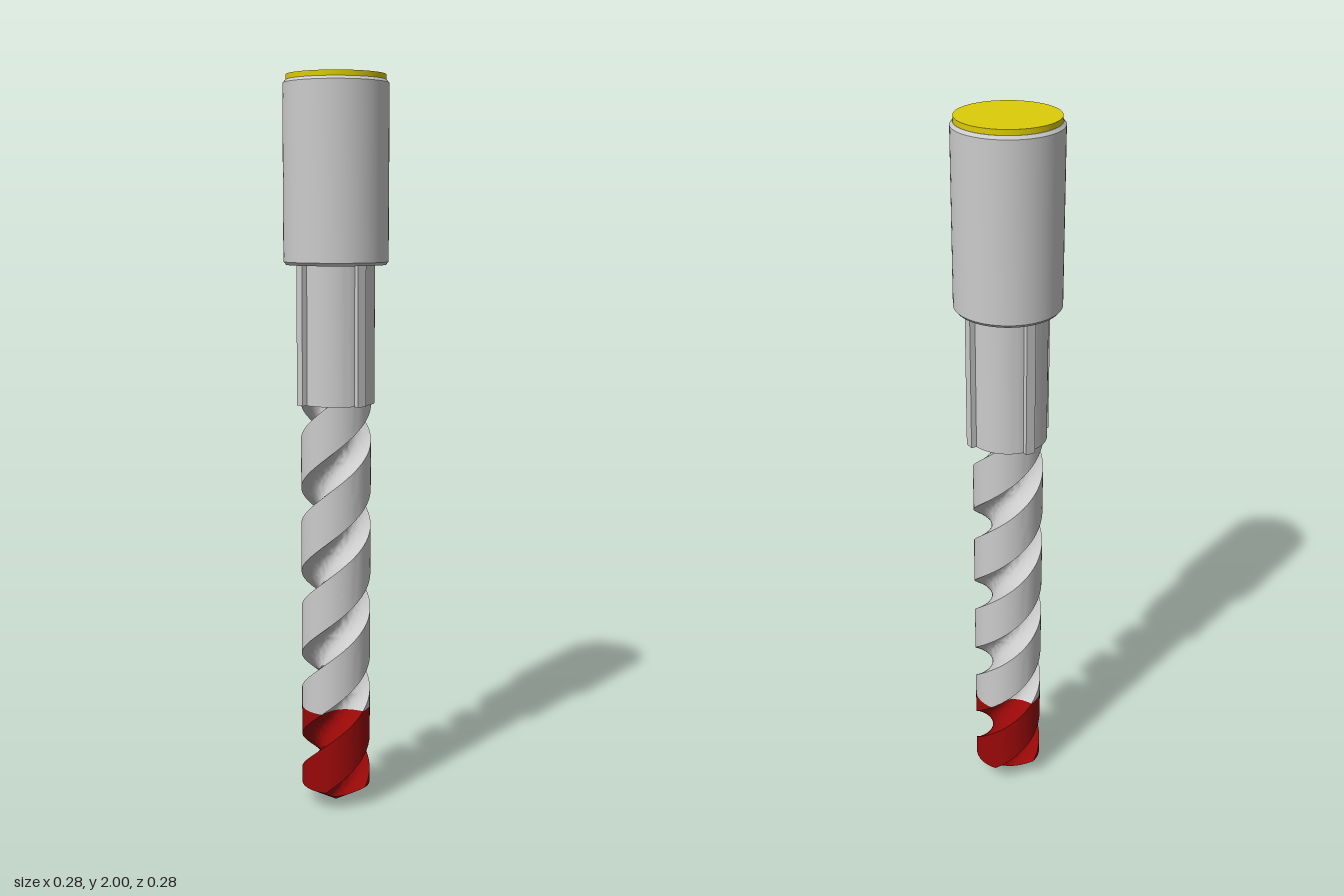
import * as THREE from 'three';
import { toCreasedNormals } from 'three/addons/utils/BufferGeometryUtils.js';

const R = 0.095, LEAD = 0.47, LAND = THREE.MathUtils.degToRad(52);
const CORE = 0.045, TIP_H = 0.055;

// Two-fluted cross-section as [radius, angle] pairs, counter-clockwise from above
function fluteSection() {
  const pts = [];
  const half = Math.PI / 2 - LAND;
  const edgeX = R * Math.cos(half), edgeY = R * Math.sin(half);
  for (let f = 0; f < 2; f++) {
    for (let i = 0; i < 16; i++) {
      const t = -1 + i / 8;
      const x = CORE + (edgeX - CORE) * t * t, y = edgeY * t;
      pts.push([Math.hypot(x, y), Math.atan2(y, x) + f * Math.PI]);
    }
    for (let i = 0; i < 16; i++) pts.push([R, half + 2 * LAND * i / 16 + f * Math.PI]);
  }
  return pts;
}

// Twisted body between y0 and y1; a pointed one begins with a cone at the bottom
function twist(y0, y1, pointed) {
  const section = fluteSection(), n = section.length;
  const rings = [];
  if (pointed) for (let i = 0; i < 6; i++) rings.push([i / 6, 0]);
  const steps = Math.ceil((y1 - y0) / 0.009);
  for (let i = 0; i <= steps; i++) rings.push([1, i / steps]);
  const pos = [], index = [];
  for (const [s, k] of rings) {
    for (const [r, a] of section) {
      const base = pointed ? y0 + TIP_H * r * s / R : y0;
      const y = base + (y1 - base) * k;
      const t = a + 2 * Math.PI * (y - 0.9) / LEAD;
      pos.push(r * s * Math.cos(t), y, -r * s * Math.sin(t));
    }
  }
  for (let i = 0; i < rings.length - 1; i++) {
    for (let j = 0; j < n; j++) {
      const a = i * n + j, b = i * n + (j + 1) % n;
      if (rings[i][0] > 0) index.push(a, b, a + n);
      index.push(b, b + n, a + n);
    }
  }
  const g = new THREE.BufferGeometry();
  g.setAttribute('position', new THREE.Float32BufferAttribute(pos, 3));
  g.setIndex(index);
  return toCreasedNormals(g, 0.6);
}

function turned(profile) {
  const pts = profile.map(([x, y]) => new THREE.Vector2(x, y));
  return toCreasedNormals(new THREE.LatheGeometry(pts, 64), 0.5);
}

export function createModel() {
  const model = new THREE.Group();
  model.name = 'drillBit';
  const steel = new THREE.MeshStandardMaterial({ color: 0xcccccc });
  const red = new THREE.MeshStandardMaterial({ color: 0x990808 });
  const yellow = new THREE.MeshStandardMaterial({ color: 0xddcc08 });
  const add = (name, geometry, material) => {
    const mesh = new THREE.Mesh(geometry, material);
    mesh.name = name;
    model.add(mesh);
    return mesh;
  };

  // Cutting end and spiral flutes
  add('cuttingTip', twist(0.003, 0.285, true), red);
  add('spiralFlutes', twist(0.285, 1.15, false), steel);

  // Shank with four splines
  add('shank', turned([[0, 1.14], [0.104, 1.14], [0.104, 1.52], [0, 1.52]]), steel);
  for (let i = 0; i < 4; i++) {
    const spline = new THREE.BoxGeometry(0.026, 0.38, 0.04);
    spline.translate(0, 1.33, 0.098);
    spline.rotateY(i * Math.PI / 2);
    add('shankSpline' + (i + 1), spline, steel);
  }

  // Collar with small bevels, and the end cap
  add('collar', turned([[0, 1.51], [0.133, 1.51], [0.14, 1.518], [0.14, 1.978], [0.133, 1.986], [0, 1.986]]), steel);
  add('endCap', turned([[0.132, 1.98], [0.132, 2], [0, 2]]), yellow);
  return model;
}
